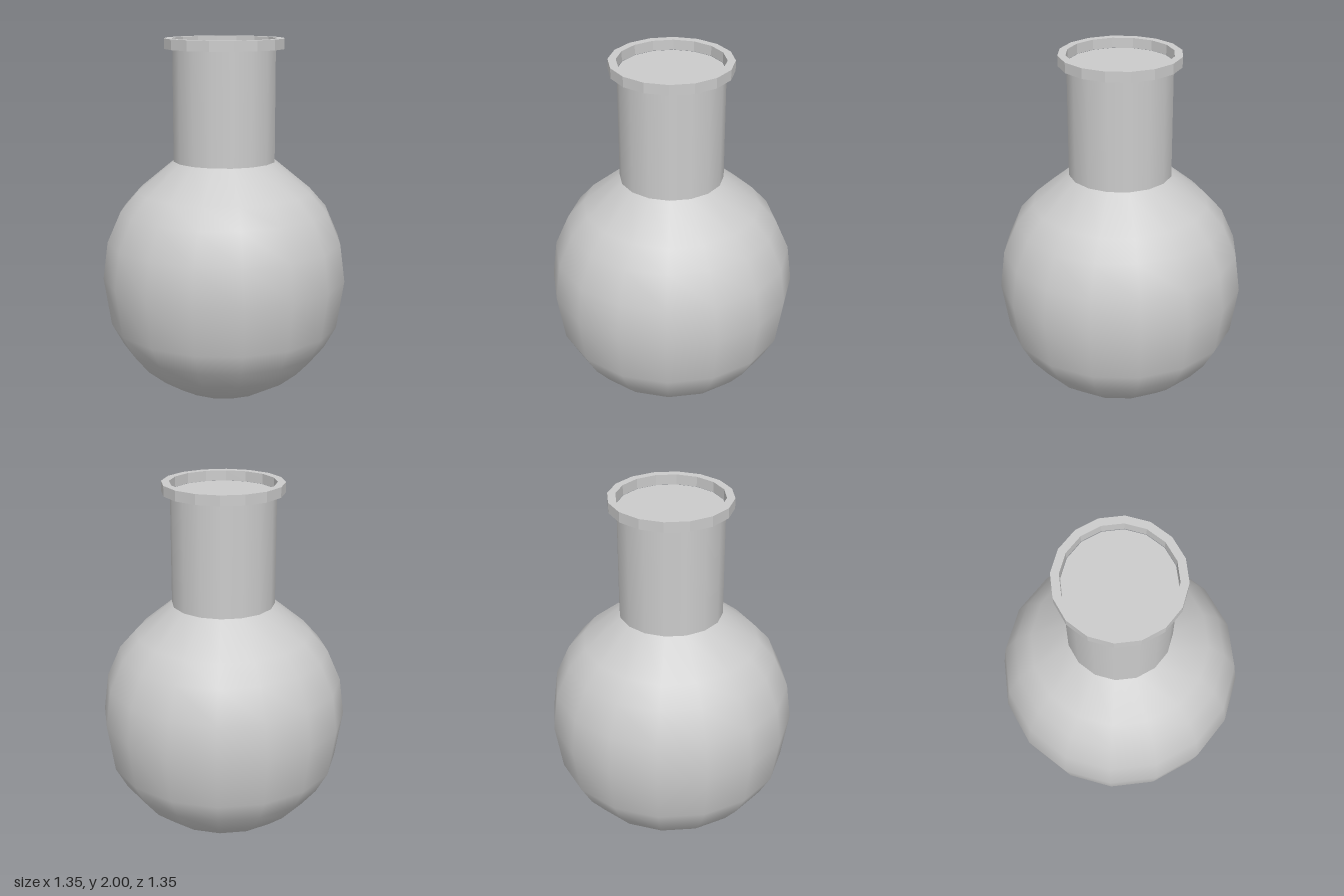
import * as THREE from 'three';

const SIDES = 16;

export function createModel() {
  const group = new THREE.Group();
  const smooth = new THREE.MeshStandardMaterial({ color: 0xcccccc });
  const flat = new THREE.MeshStandardMaterial({ color: 0xcccccc, flatShading: true });

  const add = (name, geometry, material) => {
    const mesh = new THREE.Mesh(geometry, material);
    mesh.name = name;
    group.add(mesh);
    return mesh;
  };
  const lathe = (points) =>
    new THREE.LatheGeometry(points.map(([r, y]) => new THREE.Vector2(r, y)), SIDES);

  // Round body, open where the neck begins
  add('bulb', lathe([
    [0, 0], [0.132, 0.014], [0.26, 0.053], [0.38, 0.12], [0.485, 0.205],
    [0.57, 0.31], [0.635, 0.43], [0.675, 0.695], [0.648, 0.9],
    [0.573, 1.07], [0.48, 1.175], [0.28, 1.34],
  ]), smooth);

  // Straight neck, closed just below the lip
  const neckBottom = 1.34, neckTop = 1.945;
  add('neck', new THREE.CylinderGeometry(0.28, 0.28, neckTop - neckBottom, SIDES), smooth)
    .position.y = (neckBottom + neckTop) / 2;

  // Raised ring around the mouth
  add('lip', lathe([
    [0.283, neckTop], [0.325, neckTop], [0.325, 2], [0.283, 2], [0.283, neckTop],
  ]), flat);

  return group;
}
